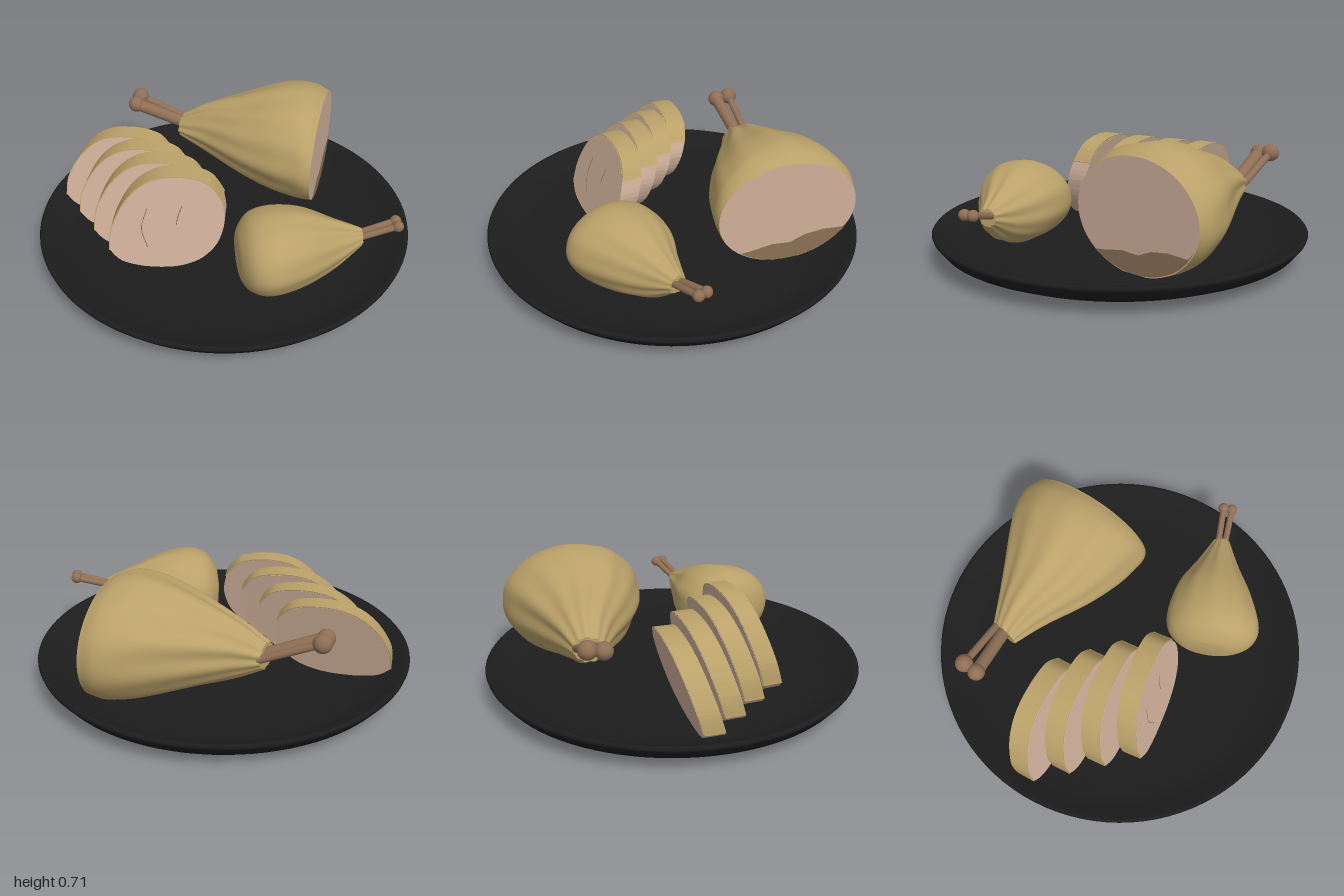
import * as THREE from 'three';

const paint = (name, color) => {
  const m = new THREE.MeshStandardMaterial({ color });
  m.name = name;
  return m;
};
const V = (x, y, z) => new THREE.Vector3(x, y, z);
const FLOOR = 0.09;

export function createModel() {
  const model = new THREE.Group();
  const plateBlack = paint('plateBlack', 0x1d1d1d);
  const skin = paint('roastSkin', 0xbaa169);
  const meat = paint('paleMeat', 0xcfb09a);
  const bone = paint('boneBrown', 0x8f6f55);
  const dark = paint('darkMeat', 0x8a7054);

  const add = (parent, name, geometry, material) => {
    const mesh = new THREE.Mesh(geometry, material);
    mesh.name = name;
    parent.add(mesh);
    return mesh;
  };

  // Plate with sloping underside and shallow well
  const plateProfile = [[0, 0], [0.62, 0.001], [0.85, 0.03], [0.95, 0.075], [0.995, 0.13], [1, 0.145],
    [0.992, 0.155], [0.975, 0.153], [0.92, 0.122], [0.84, 0.095], [0.78, FLOOR], [0, FLOOR]]
    .map(p => new THREE.Vector2(...p));
  add(model, 'plate', new THREE.LatheGeometry(plateProfile, 96), plateBlack);

  // Loft through rows of [backX, backZ, frontX, frontZ, bottomY, topY], with folds gathered at one end
  function loft(parent, name, rows, fold, startMat, endMat) {
    const N = 96, M = 48;
    const back = new THREE.CatmullRomCurve3(rows.map(r => V(r[0], r[4], r[1])), false, 'catmullrom', 0.5);
    const front = new THREE.CatmullRomCurve3(rows.map(r => V(r[2], r[5], r[3])), false, 'catmullrom', 0.5);
    const pos = [], index = [];
    for (let i = 0; i <= M; i++) {
      const u = i / M, a = back.getPoint(u), b = front.getPoint(u);
      const mid = a.clone().add(b).multiplyScalar(0.5), half = b.clone().sub(a).multiplyScalar(0.5);
      for (let j = 0; j < N; j++) {
        const t = j / N * Math.PI * 2;
        const k = 1 + fold(u) * (Math.cos(11 * t + 1) + 0.6 * Math.cos(7 * t));
        const c = Math.cos(t) * k, s = Math.sin(t) * k;
        pos.push(mid.x + half.x * c, Math.max(FLOOR - 0.005, mid.y + half.y * s), mid.z + half.z * c);
        if (i < M) {
          const p = i * N + j, q = i * N + (j + 1) % N;
          index.push(p, p + N, q + N, p, q + N, q);
        }
      }
    }
    const g = new THREE.BufferGeometry();
    g.setAttribute('position', new THREE.Float32BufferAttribute(pos, 3));
    g.setIndex(index);
    g.computeVertexNormals();
    add(parent, name, g, skin);
    // End caps
    [[0, startMat, 'startCap'], [M, endMat, 'endCap']].forEach(([row, mat, capName]) => {
      const ring = pos.slice(row * N * 3, (row + 1) * N * 3), tri = [];
      const centre = [0, 1, 2].map(k => ring.reduce((s, v, n) => s + (n % 3 === k ? v : 0), 0) / N);
      for (let j = 0; j < N; j++) {
        const q = (j + 1) % N;
        tri.push(N, ...(row ? [q, j] : [j, q]));
      }
      // Reverse so each cap faces away from the body
      tri.reverse();
      const cap = new THREE.BufferGeometry();
      cap.setAttribute('position', new THREE.Float32BufferAttribute([...ring, ...centre], 3));
      cap.setIndex(row ? tri.reverse() : tri.reverse());
      cap.computeVertexNormals();
      add(parent, capName, cap, mat);
    });
  }

  // Bone shaft with a round knob
  function addBone(parent, from, to, radius, knob) {
    const path = new THREE.LineCurve3(from, to);
    add(parent, 'boneShaft', new THREE.TubeGeometry(path, 1, radius, 16), bone);
    add(parent, 'boneKnob', new THREE.SphereGeometry(knob, 24, 16), bone).position.copy(to);
  }

  // Large leg with a flat cut face
  const leg = new THREE.Group();
  leg.name = 'largeLeg';
  model.add(leg);
  loft(leg, 'legSkin', [
    [-0.12, -0.66, -0.2, -0.53, 0.32, 0.45],
    [0.03, -0.665, -0.07, -0.4, 0.25, 0.54],
    [0.2, -0.68, 0.1, -0.2, 0.18, 0.615],
    [0.38, -0.7, 0.25, -0.06, 0.12, 0.68],
    [0.52, -0.71, 0.37, 0.02, 0.09, 0.703],
    [0.65, -0.69, 0.42, 0.045, 0.08, 0.69],
    [0.73, -0.635, 0.455, 0.052, 0.085, 0.658],
  ], u => 0.045 * (1 - u) ** 1.5, skin, meat);
  addBone(leg, V(-0.1, 0.38, -0.635), V(-0.4, 0.51, -0.73), 0.02, 0.047);
  addBone(leg, V(-0.1, 0.37, -0.585), V(-0.43, 0.5, -0.66), 0.034, 0.045);

  // Darker meat along the bottom of the cut face
  const edge = s => 0.371 - 0.284 * Math.sqrt(1 - (s / 0.37) ** 2);
  const patch = [];
  for (let s = -0.25; s <= 0.351; s += 0.04) patch.push(new THREE.Vector2(s, edge(s) + 0.004));
  const patchTop = [[0.345, 0.27], [0.31, 0.235], [0.2, 0.24], [0.1, 0.225], [0.02, 0.19], [-0.08, 0.195], [-0.18, 0.175]];
  patch.push(...patchTop.map(p => new THREE.Vector2(...p)));
  const patchMesh = add(leg, 'darkMeatPatch', new THREE.ShapeGeometry(new THREE.Shape(patch)), dark);
  patchMesh.position.set(0.597, 0, -0.29);
  patchMesh.rotation.y = Math.atan2(0.687, 0.275);

  // Small drumstick
  const drum = new THREE.Group();
  drum.name = 'drumstick';
  model.add(drum);
  loft(drum, 'drumstickSkin', [
    [0, 0.42, 0, 0.5, 0.25, 0.32],
    [0.015, 0.33, 0.015, 0.62, 0.15, 0.39],
    [0.08, 0.25, 0.07, 0.71, 0.1, 0.465],
    [0.2, 0.23, 0.17, 0.735, 0.085, 0.495],
    [0.35, 0.26, 0.33, 0.675, 0.095, 0.475],
    [0.5, 0.34, 0.5, 0.575, 0.15, 0.41],
    [0.64, 0.41, 0.64, 0.5, 0.26, 0.35],
  ], u => 0.045 * u ** 3, skin, skin);
  for (const side of [-1, 1]) {
    addBone(drum, V(0.6, 0.305, 0.455 + side * 0.018), V(0.82, 0.367, 0.453 + side * 0.023), 0.017, 0.029);
  }

  // Breast slices, leaning back, each with a rim of skin over the top
  const rimPoints = [[-0.3, 0.17], [-0.285, 0.3], [-0.2, 0.46], [-0.08, 0.555], [0.07, 0.58], [0.21, 0.55], [0.285, 0.46]];
  const lowerPoints = [[0.285, 0.46], [0.3, 0.36], [0.265, 0.24], [0.19, 0.155], [0.1, 0.11], [0, 0.09],
    [-0.13, 0.09], [-0.24, 0.115], [-0.3, 0.17]];
  const spline = (pts, n) => new THREE.SplineCurve(pts.map(p => new THREE.Vector2(...p))).getPoints(n);
  const rim = spline(rimPoints, 40);
  const all = [...rim, ...spline(lowerPoints, 32).slice(1, -1)];
  const scaled = (pts, k) => pts.map(p => new THREE.Vector2(p.x * k, 0.3 + (p.y - 0.3) * k));
  const LEAN = 0.25, LEAN_Y = 0.12;
  const lean = new THREE.Matrix4().set(1, 0, 0, 0, 0, 1, 0, 0, 0, -LEAN, 1, LEAN * LEAN_Y, 0, 0, 0, 1);
  const slab = (pts, depth, z) => new THREE.ExtrudeGeometry(new THREE.Shape(pts), { depth, bevelEnabled: false })
    .translate(0, 0, z).applyMatrix4(lean);
  const meatGeo = slab(scaled(all, 0.99), 0.108, 0);
  const skinGeo = slab([...scaled(rim, 1.01), ...scaled(rim, 0.97).reverse()], 0.104, 0.002);
  for (let i = 0; i < 4; i++) {
    const slice = new THREE.Group();
    slice.name = 'breastSlice';
    add(slice, 'sliceMeat', meatGeo, meat);
    add(slice, 'sliceSkin', skinGeo, skin);
    const height = 1 - 0.04 * i;
    slice.position.set(-0.318 - 0.076 * i, FLOOR * (1 - height), 0.21 - 0.165 * i);
    slice.scale.y = height;
    slice.rotation.y = -0.2 - 0.033 * i;
    model.add(slice);
    // Grain cracks on the foremost slice
    if (i === 0) {
      [[[-0.1, 0.2], [-0.13, 0.3], [-0.1, 0.41]], [[0.05, 0.33], [0.06, 0.38], [0.08, 0.43]]].forEach(line => {
        const path = new THREE.CatmullRomCurve3(line.map(([x, y]) => V(x, y, 0.108 - LEAN * (y - LEAN_Y))));
        add(slice, 'grainCrack', new THREE.TubeGeometry(path, 12, 0.002, 6), dark);
      });
    }
  }
  return model;
}
